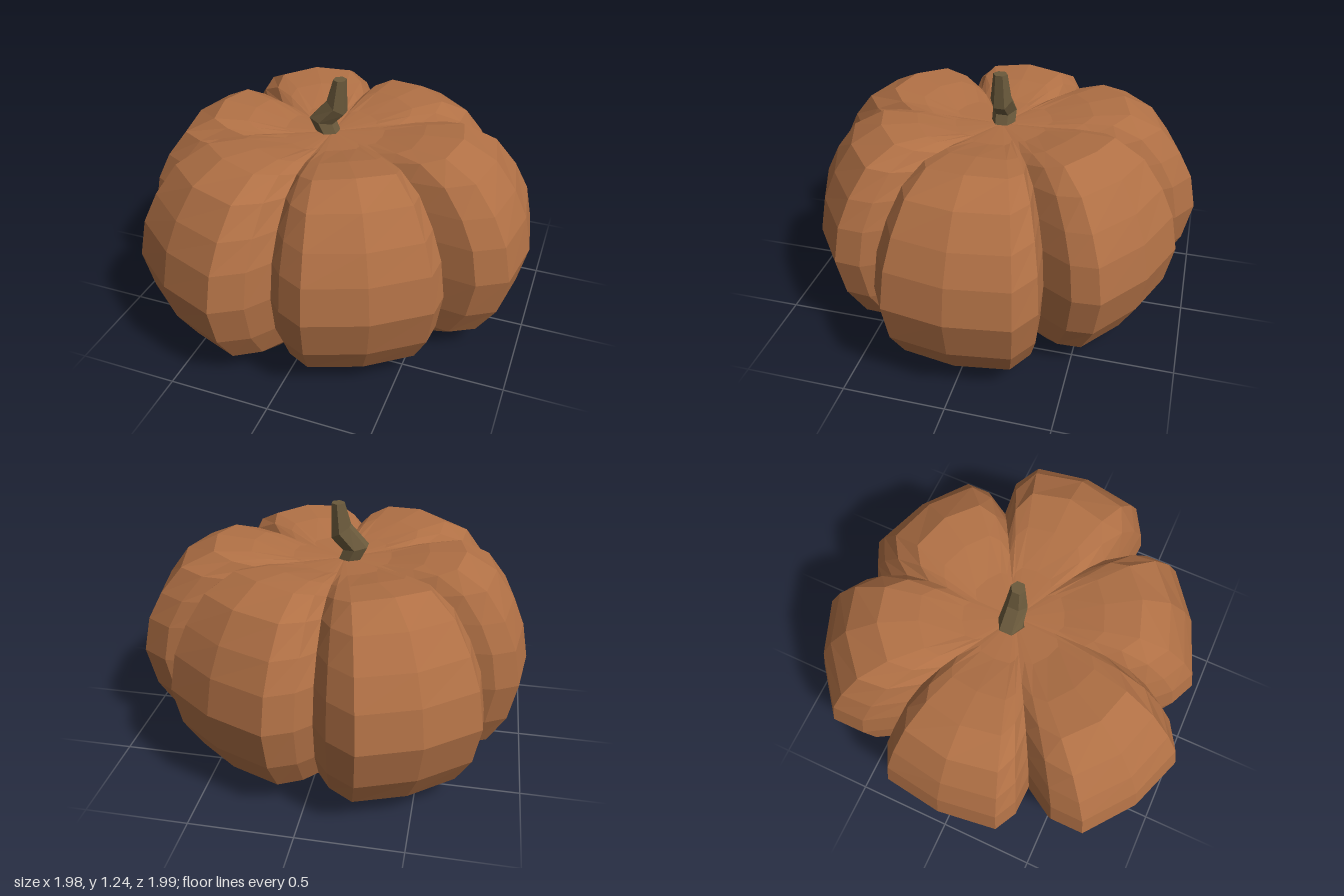
import * as THREE from 'three';

// Skin closed rings of points (each ring ordered from +x towards +z, bottom ring first)
function skin(rings) {
  const n = rings[0].length;
  const index = [];
  for (let k = 0; k < rings.length - 1; k++) {
    for (let i = 0; i < n; i++) {
      const a = k * n + i, b = k * n + (i + 1) % n;
      index.push(a, a + n, b, b, a + n, b + n);
    }
  }
  const geometry = new THREE.BufferGeometry();
  geometry.setAttribute('position', new THREE.Float32BufferAttribute(rings.flat(2), 3));
  geometry.setIndex(index);
  geometry.computeVertexNormals();
  return geometry;
}

function makeBody() {
  const cx = -0.05;
  // Widest outline, front half: x, z, fullness (0 = groove, 1 = middle of a lobe)
  const half = [
    [0.985, 0, 1], [0.94, 0.3, 0.8], [0.8, 0.385, 0.45], [0.6, 0.365, 0],
    [0.68, 0.51, 0.45], [0.67, 0.64, 0.8], [0.43, 0.82, 1], [0.15, 0.93, 0.8],
    [0.02, 0.87, 0.45], [-0.05, 0.8, 0], [-0.13, 0.91, 0.45], [-0.27, 0.995, 0.8],
    [-0.55, 0.89, 1], [-0.79, 0.7, 0.8], [-0.79, 0.53, 0.45], [-0.69, 0.365, 0],
    [-0.84, 0.36, 0.45], [-0.95, 0.3, 0.8], [-0.99, 0, 1],
  ];
  const back = half.slice(1, -1).reverse().map(([x, z, w]) => [x, -z, w]);
  const outline = [...half, ...back];

  // Vertical profile: lobe scale, lobe height, groove scale, groove height
  const profile = [
    [0, 0, 0, 0], [0.46, 0.015, 0.45, 0.02], [0.71, 0.045, 0.7, 0.05],
    [0.86, 0.12, 0.86, 0.13], [0.955, 0.28, 0.96, 0.28], [1, 0.48, 1, 0.48],
    [0.965, 0.66, 0.96, 0.66], [0.9, 0.8, 0.87, 0.79], [0.8, 0.94, 0.74, 0.9],
    [0.64, 1.025, 0.58, 0.95], [0.45, 1.01, 0.45, 0.96], [0.25, 0.965, 0.25, 0.955],
    [0, 0.95, 0, 0.95],
  ];
  const mix = THREE.MathUtils.lerp;
  return skin(profile.map(([ls, ly, gs, gy]) => outline.map(([x, z, w]) => {
    const s = mix(gs, ls, w);
    return [cx + (x - cx) * s, mix(gy, ly, w), z * s];
  })));
}

function makeStem() {
  // Hexagonal sections: left x, left y, right x, right y, half depth
  const sections = [
    [-0.12, 0.93, -0.015, 0.93, 0.06], [-0.165, 1.02, -0.045, 1.0, 0.062],
    [-0.075, 1.12, 0.015, 1.06, 0.055], [-0.043, 1.235, 0.015, 1.235, 0.036],
  ];
  const rings = sections.map(([lx, ly, rx, ry, d]) => {
    const mx = (lx + rx) / 2, my = (ly + ry) / 2;
    return [[rx, ry, d / 2], [mx, my, d], [lx, ly, d / 2],
      [lx, ly, -d / 2], [mx, my, -d], [rx, ry, -d / 2]];
  });
  // Flat cut end
  rings.push(rings[3].map(() => [-0.014, 1.235, 0]));
  return skin(rings);
}

export function createModel() {
  const group = new THREE.Group();
  group.name = 'pumpkin';
  const add = (name, geometry, color) => {
    const mesh = new THREE.Mesh(geometry, new THREE.MeshStandardMaterial({ color, flatShading: true }));
    mesh.name = name;
    group.add(mesh);
  };
  add('body', makeBody(), 0xb07045);
  add('stem', makeStem(), 0x6b5a3c);
  return group;
}
